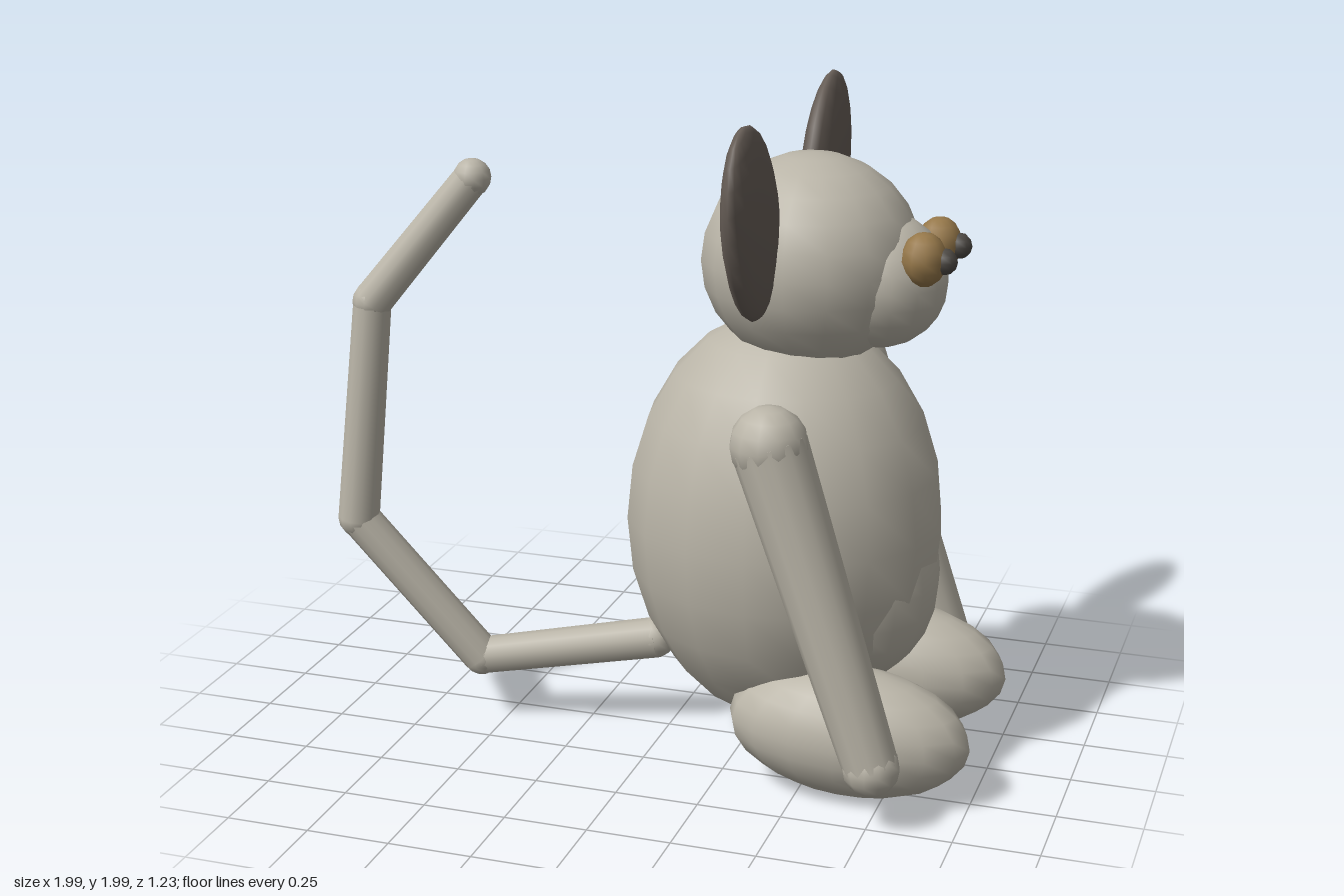
import * as THREE from 'three';

export function createModel() {
  const model = new THREE.Group();
  model.name = 'bigEaredAnimal';

  const mat = (name, color) => {
    const m = new THREE.MeshStandardMaterial({ color });
    m.name = name;
    return m;
  };
  const fur = mat('greyFur', 0xbab5a8);
  const earSkin = mat('darkEarSkin', 0x665d56);
  const amber = mat('amberEye', 0x96784a);
  const dark = mat('darkPupil', 0x4c4843);

  const V = (x, y, z) => new THREE.Vector3(x, y, z);
  const add = (name, geometry, material) => {
    const mesh = new THREE.Mesh(geometry, material);
    mesh.name = name;
    model.add(mesh);
    return mesh;
  };

  // Ellipsoid given by its centre and three radii
  const ball = (name, pos, radii, material, w = 16, h = 12) => {
    const mesh = add(name, new THREE.SphereGeometry(1, w, h), material);
    mesh.position.copy(pos);
    mesh.scale.copy(radii);
    return mesh;
  };

  // Tapered limb between two points
  const limb = (name, a, b, ra, rb, material) => {
    const dir = b.clone().sub(a);
    const mesh = add(name, new THREE.CylinderGeometry(rb, ra, dir.length(), 12), material);
    mesh.position.copy(a).add(b).multiplyScalar(0.5);
    mesh.quaternion.setFromUnitVectors(V(0, 1, 0), dir.normalize());
    return mesh;
  };

  // Body, belly, head and muzzle; the face looks along +x
  ball('body', V(0.362, 0.74, 0), V(0.473, 0.63, 0.44), fur);
  ball('belly', V(0.56, 0.58, 0), V(0.273, 0.33, 0.3), fur);
  ball('head', V(0.43, 1.53, 0), V(0.32, 0.31, 0.31), fur);
  ball('muzzle', V(0.635, 1.485, 0), V(0.195, 0.195, 0.2), fur);

  for (const s of [1, -1]) {
    const side = s > 0 ? 'Near' : 'Far';

    // Flat ears leaning outwards
    const ear = ball('ear' + side, V(0.363, 1.71, s * 0.395), V(0.056, 0.3, 0.2), earSkin);
    ear.rotation.x = s * 0.44;

    // Eyes
    ball('eye' + side, V(0.78, 1.577, s * 0.102), V(0.066, 0.078, 0.073), amber, 10, 8);
    ball('pupil' + side, V(0.838, 1.575, s * 0.099), V(0.038, 0.038, 0.038), dark, 8, 6);

    // Arms reaching down to the feet
    const shoulder = V(0.44, 1.11, s * 0.458);
    const hand = V(0.76, 0.2, s * 0.495);
    ball('shoulder' + side, shoulder, V(0.112, 0.112, 0.112), fur, 12, 8);
    limb('arm' + side, shoulder, hand, 0.109, 0.08, fur);
    ball('hand' + side, hand, V(0.083, 0.083, 0.083), fur, 12, 8);

    // Feet
    const foot = ball('foot' + side, V(0.637, 0.2, s * 0.27), V(0.36, 0.193, 0.18), fur);
    foot.rotation.z = -0.05;
  }

  // Segmented tail curling up in one slanted plane
  const tail = [[-0.045, 0.293], [-0.57, 0.215], [-0.93, 0.66], [-0.865, 1.345], [-0.565, 1.725]]
    .map(([x, y]) => V(x, y, -0.24 * x - 0.01));
  const radii = [0.063, 0.06, 0.063, 0.06, 0.057];
  tail.forEach((p, i) => {
    const r = radii[i];
    ball('tailJoint' + i, p, V(r, r, r), fur, 12, 8);
    if (i) limb('tailSegment' + i, tail[i - 1], p, radii[i - 1], r * 0.95, fur);
  });

  return model;
}
